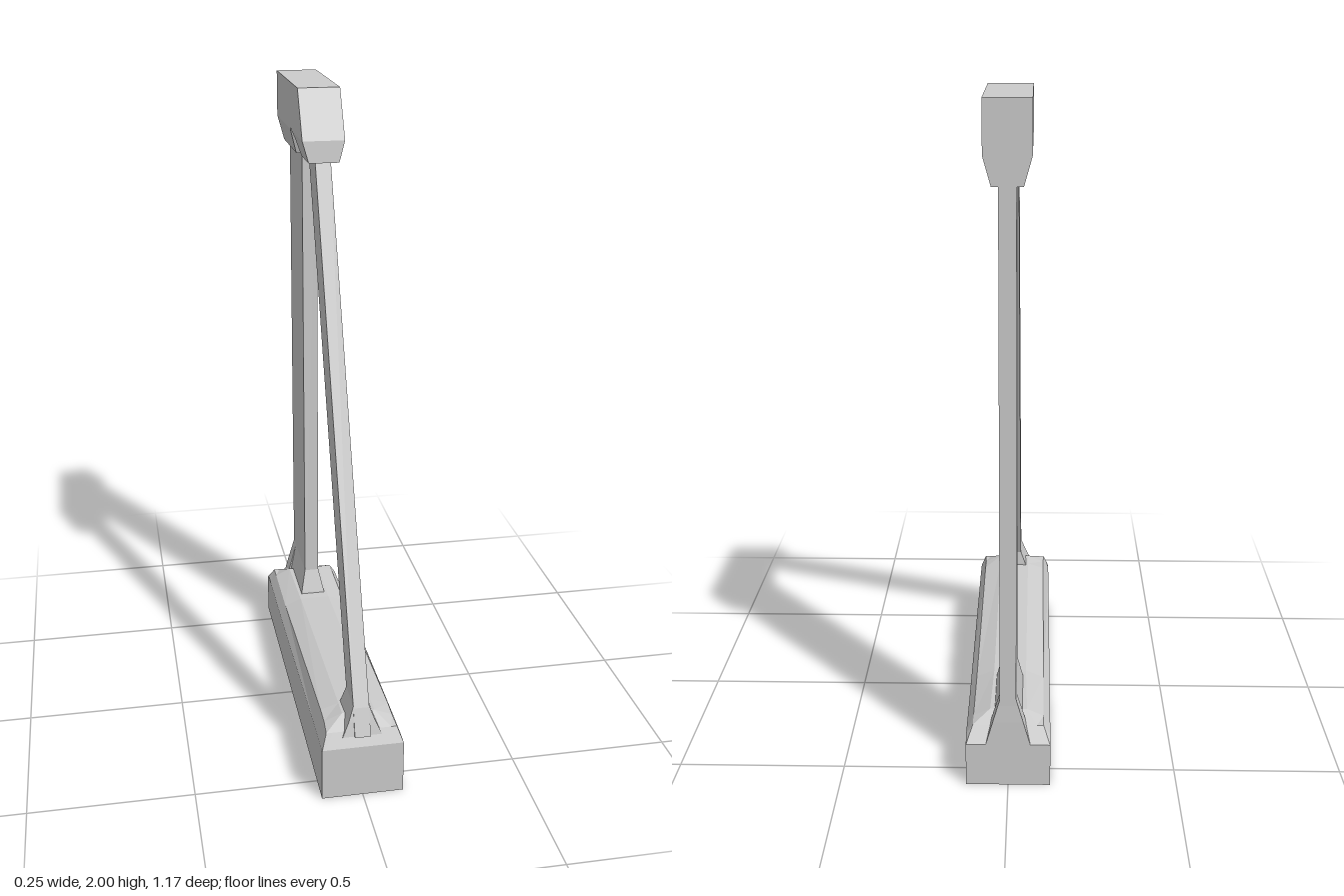
import * as THREE from 'three';

const material = new THREE.MeshStandardMaterial({ color: 0xcccccc, flatShading: true });

// Closed faceted skin through equal-length rings, with fan caps at both ends.
function skin(rings) {
  const pos = [];
  const tri = (...pts) => pts.forEach((p) => pos.push(...p));
  const n = rings[0].length;
  for (let r = 0; r < rings.length - 1; r++) {
    const a = rings[r], b = rings[r + 1];
    for (let i = 0; i < n; i++) {
      const j = (i + 1) % n;
      tri(a[i], a[j], b[j]);
      tri(a[i], b[j], b[i]);
    }
  }
  const first = rings[0], last = rings[rings.length - 1];
  for (let i = 1; i < n - 1; i++) {
    tri(first[0], first[i + 1], first[i]);
    tri(last[0], last[i], last[i + 1]);
  }
  const g = new THREE.BufferGeometry();
  g.setAttribute('position', new THREE.Float32BufferAttribute(pos, 3));
  g.computeVertexNormals();
  return g;
}

// Side profile of [z, y] points given a thickness across x; widthAt(y) may taper it.
function plate(profile, widthAt) {
  const shape = new THREE.Shape(profile.map(([z, y]) => new THREE.Vector2(-z, y)));
  const g = new THREE.ExtrudeGeometry(shape, { depth: 2, bevelEnabled: false });
  g.translate(0, 0, -1).rotateY(Math.PI / 2);
  const p = g.attributes.position;
  for (let i = 0; i < p.count; i++) p.setX(i, p.getX(i) * widthAt(p.getY(i)));
  g.computeVertexNormals();
  return g;
}

// Flared foot from levels [y, half width, front z, back z], lowest first.
const foot = (levels) => skin(levels.map(([y, w, f, b]) =>
  [[w, y, f], [w, y, b], [-w, y, b], [-w, y, f]]));

export function createModel() {
  const model = new THREE.Group();
  const add = (name, geometry) => {
    const mesh = new THREE.Mesh(geometry, material);
    mesh.name = name;
    model.add(mesh);
  };

  // Base beam: [z, wall top, shoulder x, shoulder y, crest x, crest y], hipped at both ends
  const sections = [
    [-0.585, 0.13, 0.124, 0.135, 0.115, 0.135],
    [-0.55, 0.15, 0.105, 0.18, 0.085, 0.18],
    [-0.5, 0.15, 0.105, 0.182, 0.055, 0.205],
    [-0.27, 0.15, 0.105, 0.182, 0.05, 0.205],
    [0.45, 0.17, 0.105, 0.222, 0.05, 0.24],
    [0.51, 0.17, 0.105, 0.22, 0.05, 0.243],
    [0.565, 0.17, 0.108, 0.215, 0.09, 0.215],
    [0.588, 0.165, 0.124, 0.17, 0.115, 0.17],
  ];
  add('baseBeam', skin(sections.map(([z, wall, sx, sy, cx, cy]) => [
    [-0.125, 0, z], [0.125, 0, z], [0.125, wall, z], [sx, sy, z],
    [cx, cy, z], [-cx, cy, z], [-sx, sy, z], [-0.125, wall, z],
  ])));

  // Upright post and its flared foot
  const thin = () => 0.024;
  add('post', plate([[-0.33, 0.15], [-0.33, 1.85], [-0.583, 1.85], [-0.583, 0.1]], thin));
  add('postFoot', foot([
    [0.18, 0.045, -0.298, -0.565],
    [0.21, 0.04, -0.305, -0.57],
    [0.285, 0.024, -0.33, -0.583],
  ]));
  add('postRearFlare', foot([
    [0.12, 0.07, -0.54, -0.585],
    [0.21, 0.045, -0.53, -0.585],
    [0.29, 0.022, -0.54, -0.582],
  ]));

  // Slanted brace and its flared foot
  add('brace', plate([[0.583, 0.2], [0.555, 0.285], [-0.11, 1.85], [-0.225, 1.85],
    [-0.2, 1.79], [0.443, 0.285], [0.45, 0.2]], thin));
  add('braceFoot', foot([
    [0.2, 0.06, 0.575, 0.44],
    [0.245, 0.04, 0.565, 0.438],
    [0.29, 0.024, 0.552, 0.442],
  ]));

  // Head cap: straight upper block with two lugs narrowing downward
  const capWidth = (y) => 0.065 - Math.max(0, 1.855 - y) * 0.28;
  add('capBlock', plate([[-0.585, 2], [-0.155, 2], [-0.072, 1.855], [-0.28, 1.855],
    [-0.3, 1.862], [-0.303, 1.855], [-0.585, 1.855]], capWidth));
  add('capFrontLug', plate([[-0.072, 1.855], [-0.066, 1.79], [-0.2, 1.79],
    [-0.245, 1.838], [-0.28, 1.855]], capWidth));
  add('capRearLug', plate([[-0.303, 1.855], [-0.33, 1.775], [-0.585, 1.775],
    [-0.585, 1.855]], capWidth));

  return model;
}
